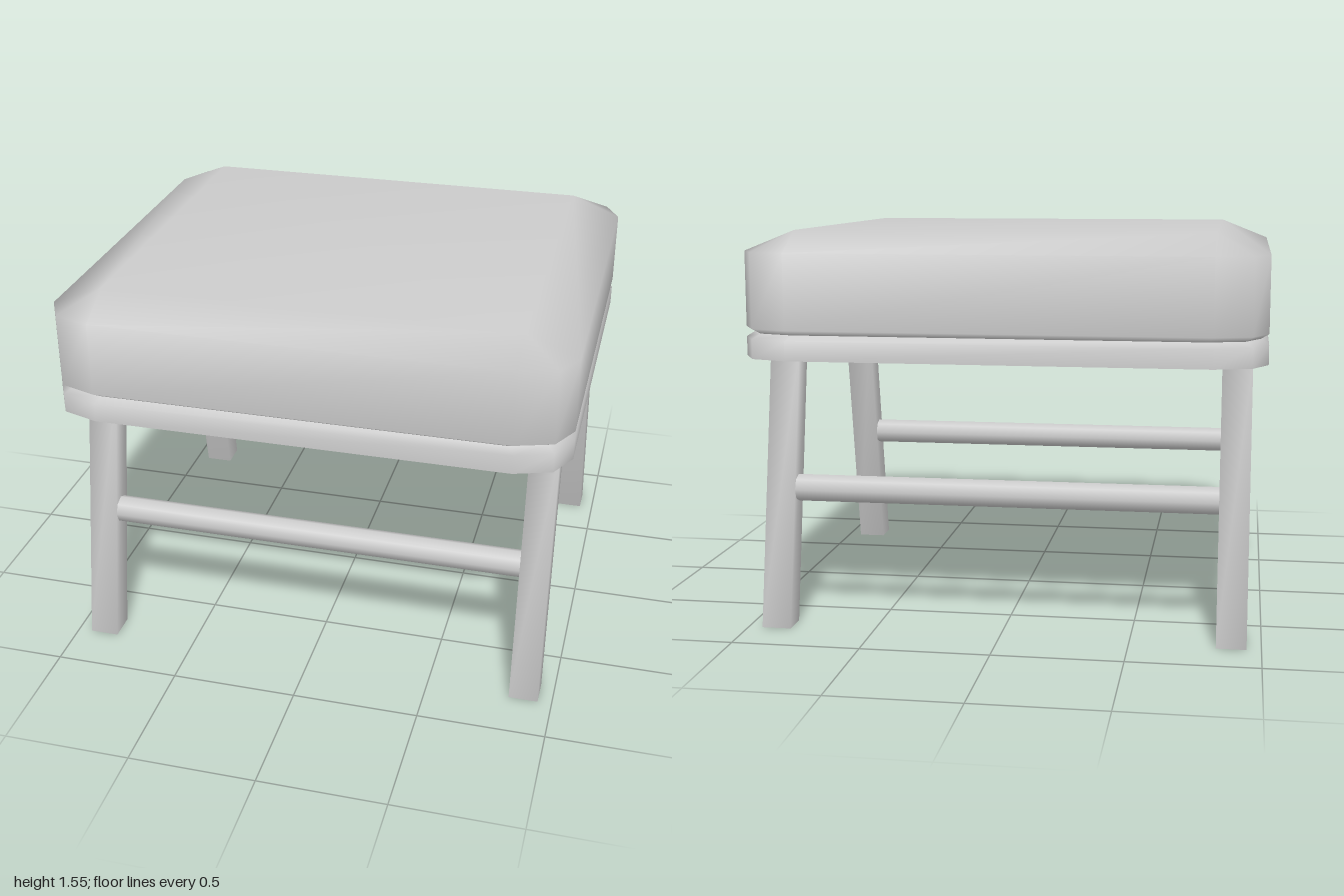
import * as THREE from 'three';
import { mergeVertices } from 'three/addons/utils/BufferGeometryUtils.js';

const material = new THREE.MeshStandardMaterial({ color: 0xcccccc });

// Weld the corners so that shading runs smoothly over the edges
function smooth(geometry) {
  geometry.deleteAttribute('uv');
  geometry.deleteAttribute('normal');
  const welded = mergeVertices(geometry, 1e-4);
  welded.computeVertexNormals();
  return welded;
}

// Rectangle with cut corners, three points per corner: half sizes x, z and corner insets
function outline(x, z, cx, cz, y) {
  const ring = [];
  for (let q = 0; q < 4; q++) {
    const sx = q === 0 || q === 3 ? 1 : -1;
    const sz = q < 2 ? 1 : -1;
    for (let k = 0; k < 3; k++) {
      const a = (q * 2 + k) * Math.PI / 4;
      ring.push([sx * (x - cx) + cx * Math.cos(a), y, sz * (z - cz) + cz * Math.sin(a)]);
    }
  }
  return ring;
}

// Skin over stacked rings, with optional flat lids
function loft(rings, bottomLid, topLid) {
  const n = rings[0].length;
  const points = [];
  for (let i = 0; i + 1 < rings.length; i++) {
    for (let j = 0; j < n; j++) {
      const k = (j + 1) % n;
      const [a, b, c, d] = [rings[i][j], rings[i][k], rings[i + 1][j], rings[i + 1][k]];
      points.push(...a, ...c, ...b, ...b, ...c, ...d);
    }
  }
  const lid = (ring, up) => {
    const centre = [0, ring[0][1], 0];
    for (let j = 0; j < n; j++) {
      const a = ring[j], b = ring[(j + 1) % n];
      points.push(...centre, ...(up ? b : a), ...(up ? a : b));
    }
  };
  if (bottomLid) lid(rings[0], false);
  if (topLid) lid(rings[rings.length - 1], true);
  const geometry = new THREE.BufferGeometry();
  geometry.setAttribute('position', new THREE.Float32BufferAttribute(points, 3));
  return smooth(geometry);
}

export function createModel() {
  const model = new THREE.Group();
  model.name = 'footstool';
  const add = (name, geometry) => {
    const mesh = new THREE.Mesh(geometry, material);
    mesh.name = name;
    model.add(mesh);
    return mesh;
  };

  // Cushion with a bevelled top, narrowing to the groove below
  const groove = outline(0.97, 0.85, 0.19, 0.15, 1.165);
  add('cushion', loft([
    groove,
    outline(1, 0.88, 0.2, 0.16, 1.185),
    outline(1, 0.88, 0.2, 0.16, 1.475),
    outline(0.8, 0.72, 0, 0, 1.555),
  ], false, true));

  // Seat rim and its flat underside
  const rimBottom = outline(1, 0.88, 0.2, 0.16, 1.07);
  add('seatRim', loft([rimBottom, outline(1, 0.88, 0.2, 0.16, 1.145), groove], false, false));
  add('seatUnderside', loft([rimBottom], true, false));

  // Square legs leaning outwards to front and back, ends cut level
  const legHeight = 1.07;
  for (const sz of [1, -1]) {
    for (const sx of [1, -1]) {
      const leg = new THREE.BoxGeometry(0.115, legHeight, 0.11);
      leg.translate(sx * 0.887, legHeight / 2, 0);
      const p = leg.attributes.position;
      for (let i = 0; i < p.count; i++) {
        p.setZ(i, p.getZ(i) + sz * (0.747 - 0.2 * p.getY(i) / legHeight));
      }
      add((sz > 0 ? 'front' : 'back') + (sx > 0 ? 'Left' : 'Right') + 'Leg', smooth(leg));
    }

    // Round rail between the two legs
    const rail = add(sz > 0 ? 'frontRail' : 'backRail', new THREE.CylinderGeometry(0.054, 0.054, 1.7, 8));
    rail.rotation.z = Math.PI / 2;
    rail.position.set(0, 0.535, sz * 0.647);
  }
  return model;
}
